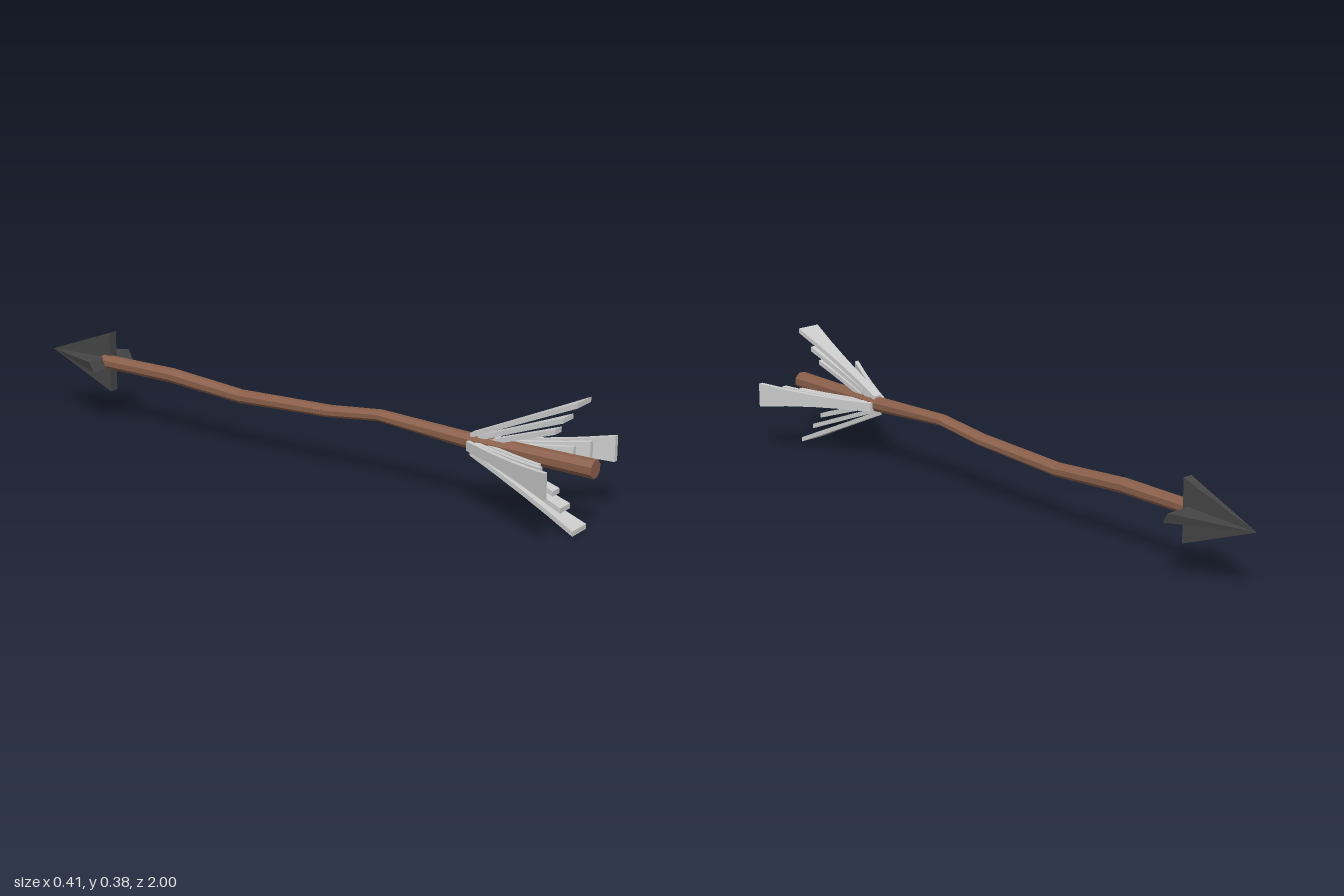
import * as THREE from 'three';

const AXIS_Y = 0.1925;
const material = (color) => new THREE.MeshStandardMaterial({ color, flatShading: true });
const wood = material(0x8a5f4a);
const iron = material(0x454545);
const grey = material(0xcccccc);

// Applies a rule to every vertex of a geometry
function reshape(geometry, rule) {
  const p = geometry.attributes.position;
  const v = new THREE.Vector3();
  for (let i = 0; i < p.count; i++) {
    rule(v.fromBufferAttribute(p, i));
    p.setXYZ(i, v.x, v.y, v.z);
  }
  geometry.computeVertexNormals();
  return geometry;
}

// Crooked eight-sided shaft; rows are [z, centre y, half width, half height]
function makeShaft() {
  const rows = [
    [1, 0.195, 0.028, 0.028], [0.6, 0.198, 0.024, 0.024], [0.29, 0.215, 0.024, 0.017],
    [0.11, 0.194, 0.026, 0.018], [-0.22, 0.179, 0.024, 0.021],
    [-0.49, 0.197, 0.024, 0.023], [-0.77, 0.196, 0.022, 0.022],
  ];
  const n = rows.length - 1;
  const geometry = new THREE.CylinderGeometry(1, 1, 1, 8, n, false, Math.PI / 8);
  geometry.rotateX(Math.PI / 2);
  reshape(geometry, (v) => {
    const [z, y, w, h] = rows[Math.round((0.5 - v.z) * n)];
    v.set(v.x * w, y + v.y * h, z);
  });
  const shaft = new THREE.Mesh(geometry, wood);
  shaft.name = 'shaft';
  return shaft;
}

// Flat four-sided point; the slant tilts its rear face
function makeBlade(name, width, height, slant) {
  const geometry = new THREE.CylinderGeometry(0, Math.SQRT1_2, 1, 4, 1, false, Math.PI / 4);
  geometry.rotateX(-Math.PI / 2);
  reshape(geometry, (v) => {
    const back = v.z + 0.5;
    v.set(v.x * width, v.y * height, -1 + 0.255 * back - slant * (v.y + 0.5) * back);
  });
  const blade = new THREE.Mesh(geometry, iron);
  blade.name = name;
  return blade;
}

// Thin vane that leans away from the shaft and flares toward its end
function makeVane([z0, r0, z1, r1, rootWidth, endWidth], reach) {
  const geometry = new THREE.BoxGeometry(1, 0.015, 1, 1, 1, 4);
  reshape(geometry, (v) => {
    const t = v.z + 0.5;
    v.x *= rootWidth + (endWidth - rootWidth) * t ** 2.2;
    v.y += r0 + (r1 * reach - r0) * t;
    v.z = z0 + (z1 - z0) * t;
  });
  const vane = new THREE.Mesh(geometry, grey);
  vane.name = 'vane';
  return vane;
}

export function createModel() {
  const model = new THREE.Group();
  model.name = 'arrow';
  model.add(makeShaft());

  // Crossed blades of the head, slightly off the shaft axis
  const head = new THREE.Group();
  head.name = 'arrowhead';
  head.position.set(0.015, 0.195, 0);
  head.add(makeBlade('horizontalBlade', 0.19, 0.031, 0.018));
  head.add(makeBlade('verticalBlade', 0.031, 0.192, 0));
  model.add(head);

  // Four fans of three vanes: start z, start radius, end z, end radius, root and end width
  const vanes = [
    [0.605, 0.026, 0.957, 0.185, 0.028, 0.077],
    [0.63, 0.022, 0.91, 0.131, 0.026, 0.056],
    [0.67, 0.018, 0.88, 0.09, 0.024, 0.037],
  ];
  for (let k = 0; k < 4; k++) {
    const feather = new THREE.Group();
    feather.name = 'feather';
    feather.position.y = AXIS_Y;
    feather.rotation.z = (k * Math.PI) / 2;
    for (const vane of vanes) feather.add(makeVane(vane, k % 2 ? 1.07 : 1));
    model.add(feather);
  }
  return model;
}
